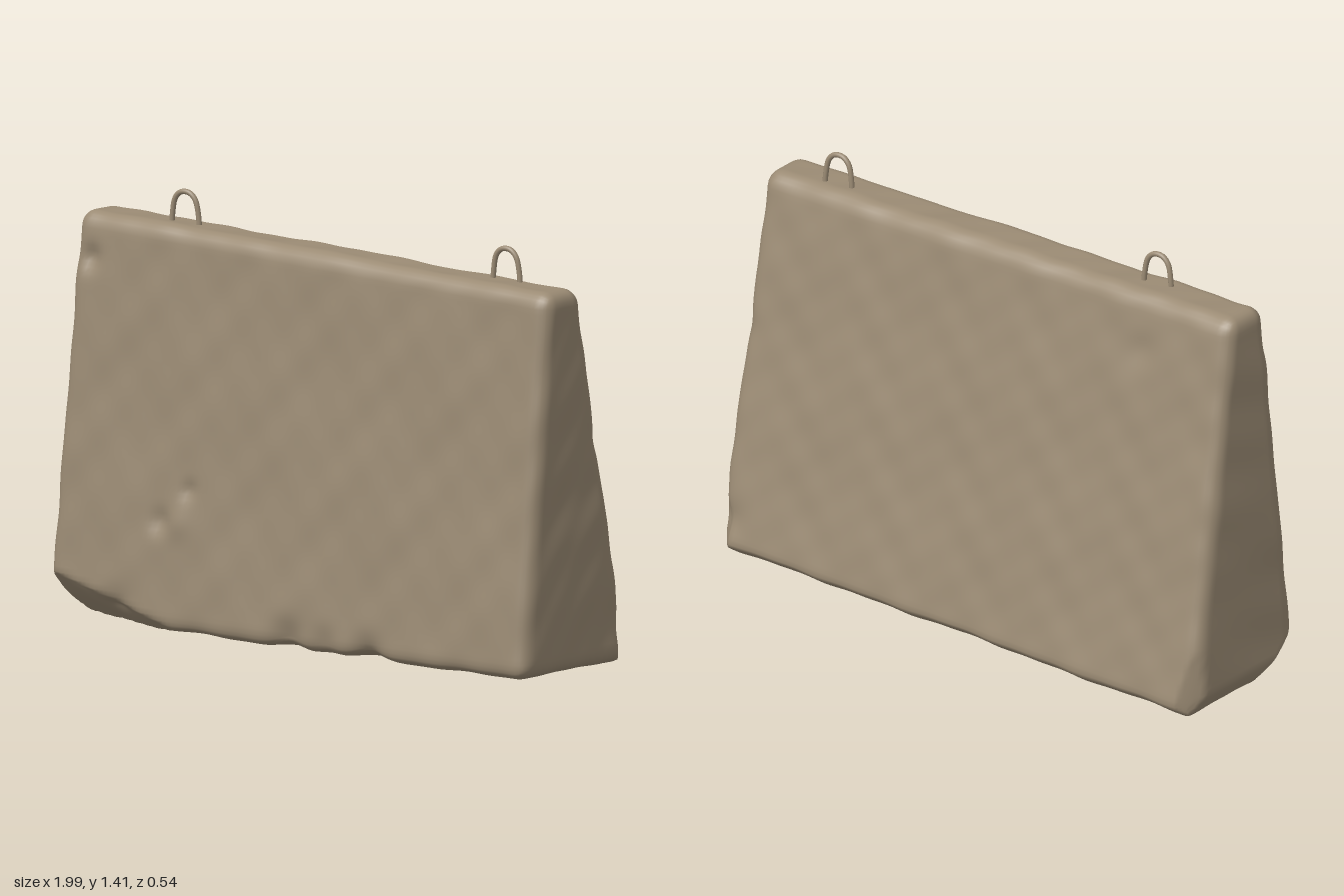
import * as THREE from 'three';
import { mergeVertices } from 'three/addons/utils/BufferGeometryUtils.js';

const { clamp, lerp } = THREE.MathUtils;
const vec = (x, y, z) => new THREE.Vector3(x, y, z);

// Broken edges: each plane (point, normal) pushes the surface back to it
const cuts = [
  [vec(-0.97, 0.15, 0.25), vec(-0.2, -0.7, 0.6)],
  [vec(-0.985, 0.06, 0), vec(-0.85, -0.5, 0)],
  [vec(0, 0.035, -0.262), vec(0, -0.75, -0.65)],
  [vec(-0.96, 0, -0.23), vec(-0.7, 0, -0.7)],
  [vec(0.95, 0, -0.235), vec(0.7, 0, -0.7)],
].map(([p, n]) => [p, n.normalize()]);

// Pits (positive depth) and lumps (negative): x, y, z, radius, depth
const dents = [
  [-0.88, 1.17, 0.18, 0.04, 0.025],
  [-0.54, 0.36, 0.25, 0.04, 0.018],
  [-0.43, 0.47, 0.24, 0.03, 0.014],
  [-0.47, 0.36, 0.25, 0.05, -0.01],
  [-0.72, 0.06, 0.27, 0.06, 0.02],
  [0.0, 0.04, 0.27, 0.06, 0.025],
  [0.15, 0.04, 0.27, 0.05, 0.015],
  [0.32, 0.02, 0.27, 0.06, 0.025],
  [0.99, 0.75, -0.13, 0.05, 0.015],
  [-0.6, 1.13, -0.04, 0.06, 0.012],
  [0.95, 0.12, -0.25, 0.05, 0.015],
];

// Gentle, repeatable unevenness of cast concrete
function roughness(p) {
  return 0.0030 * Math.sin(7 * p.x + 3 * p.y + 5 * p.z) * Math.sin(8 * p.y - 2 * p.x + 1)
    + 0.0022 * Math.sin(17 * p.x - 9 * p.y + 2) * Math.cos(15 * p.y + 13 * p.z)
    + 0.0012 * Math.sin(35 * p.x + 21 * p.z) * Math.sin(31 * p.y + 25 * p.z + 1);
}

// Tapered slab with rounded edges, a sloping top and worn corners
function slabGeometry() {
  const W = 1, H = 0.645, r = 0.05;
  let geo = new THREE.BoxGeometry(2 * W, 2 * H, 2, 110, 72, 28);
  geo.deleteAttribute('uv');
  geo.deleteAttribute('normal');
  geo = mergeVertices(geo, 1e-4);
  const pos = geo.attributes.position;
  const p = vec(0, 0, 0), inner = vec(0, 0, 0), n = vec(0, 0, 0), diff = vec(0, 0, 0);

  for (let i = 0; i < pos.count; i++) {
    p.fromBufferAttribute(pos, i);
    const t = (p.y + H) / (2 * H);
    const half = lerp(0.276, 0.088, t);

    // Round the edges
    p.z *= half;
    inner.set(clamp(p.x, r - W, W - r), clamp(p.y, r - H, H - r), clamp(p.z, r - half, half - r));
    n.subVectors(p, inner).normalize();
    p.copy(inner).addScaledVector(n, r);

    // Lean the slab, slope its top and slant its ends
    const v = (p.y + H) / (2 * H);
    p.z += lerp(0, 0.083, v);
    p.x = lerp(lerp(-0.998, -0.942, v), lerp(0.975, 0.993, v), (p.x + W) / 2);
    p.y = lerp(0.008, 1.288 - 0.036 * p.x, v);

    for (const [point, normal] of cuts) {
      const over = diff.subVectors(p, point).dot(normal);
      if (over > 0) p.addScaledVector(normal, -over * 0.9);
    }
    let push = roughness(p);
    for (const [x, y, z, radius, depth] of dents) {
      const d = diff.set(p.x - x, p.y - y, p.z - z).lengthSq();
      push -= depth * Math.exp(-d / (radius * radius));
    }
    p.addScaledVector(n, push);
    p.y = Math.max(p.y, 0);
    pos.setXYZ(i, p.x, p.y, p.z);
  }
  geo.computeVertexNormals();
  return geo;
}

// Bent bar with both ends sunk into the slab's top
function loopGeometry() {
  const path = new THREE.CatmullRomCurve3([
    vec(-0.053, -0.04, 0), vec(-0.05, 0.02, 0), vec(-0.038, 0.075, 0.002), vec(-0.016, 0.096, 0.003),
    vec(0.016, 0.096, 0.003), vec(0.038, 0.075, 0.002), vec(0.05, 0.02, 0), vec(0.053, -0.04, 0),
  ]);
  return new THREE.TubeGeometry(path, 40, 0.009, 10);
}

export function createModel() {
  const group = new THREE.Group();
  const concrete = new THREE.MeshStandardMaterial({ color: 0x9b8b74 });
  concrete.name = 'concrete';

  const slab = new THREE.Mesh(slabGeometry(), concrete);
  slab.name = 'concreteSlab';
  group.add(slab);

  // Lifting loops
  const loop = loopGeometry();
  const places = [['rightLiftingLoop', -0.56, 1.31, 0.092, 0.1], ['leftLiftingLoop', 0.735, 1.264, 0.06, 0.08]];
  for (const [name, x, y, z, turn] of places) {
    const mesh = new THREE.Mesh(loop, concrete);
    mesh.name = name;
    mesh.position.set(x, y, z);
    mesh.rotation.y = turn;
    group.add(mesh);
  }
  return group;
}
